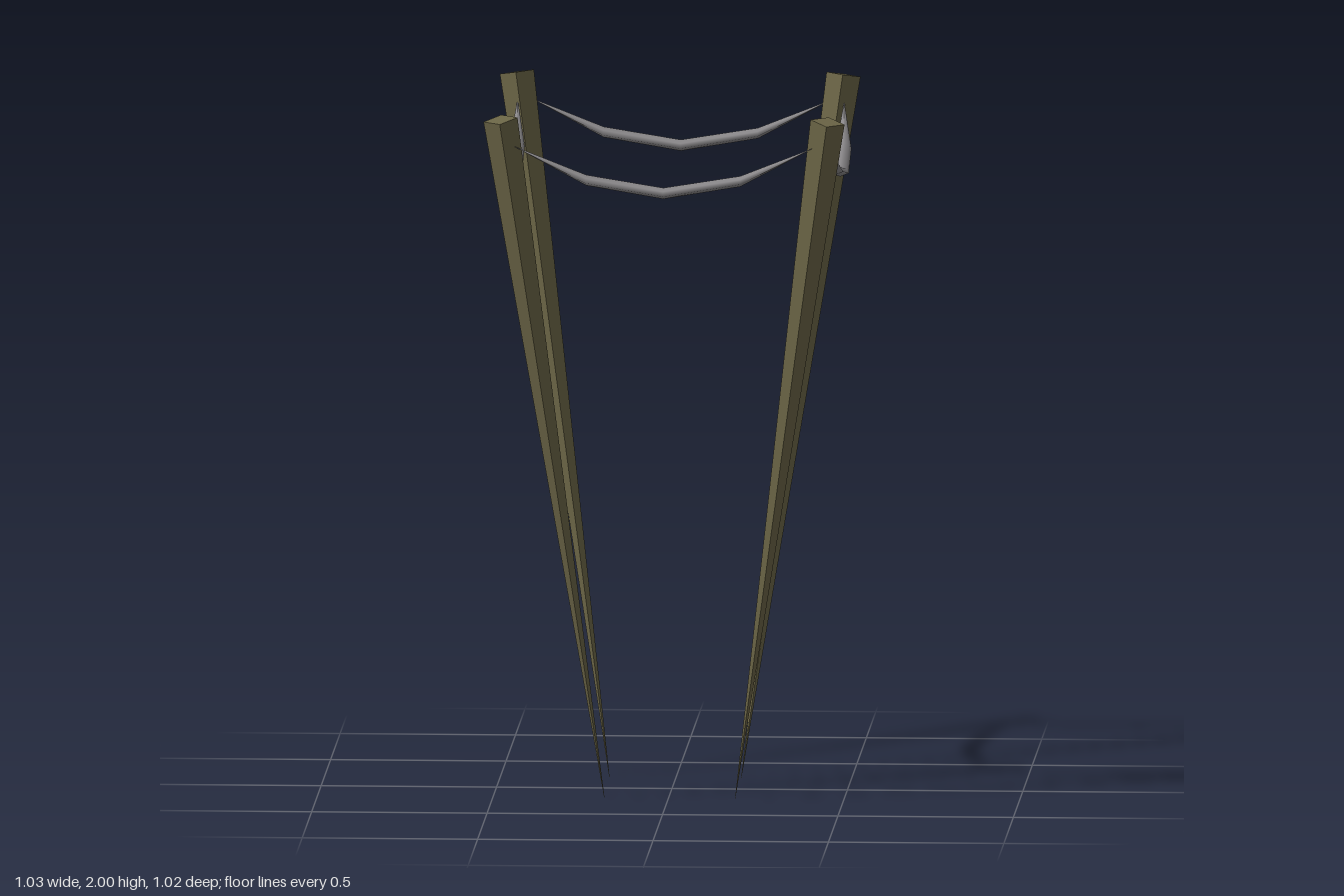
import * as THREE from 'three';

const olive = new THREE.MeshStandardMaterial({ color: 0x6b6546 });
olive.name = 'olive wood';
const grey = new THREE.MeshStandardMaterial({ color: 0x8a888a, side: THREE.DoubleSide });
grey.name = 'grey cloth';

// Square post, pointed at the foot, leaning from tip to head
function makePost(name, head, tip) {
  const top = new THREE.Vector3(head[0], 1.99, head[1]);
  const foot = new THREE.Vector3(tip[0], 0, tip[1]);
  const axis = top.clone().sub(foot);
  const geo = new THREE.CylinderGeometry(0.049, 0.0005, axis.length(), 4, 1).toNonIndexed();
  geo.computeVertexNormals();
  const post = new THREE.Mesh(geo, olive);
  post.name = name;
  post.position.copy(top).add(foot).multiplyScalar(0.5);
  post.quaternion.setFromUnitVectors(new THREE.Vector3(0, 1, 0), axis.normalize());
  return post;
}

// Sagging band along x: centre x, y, sideways shift and thickness per ring
const rings = [
  [-0.425, 1.915, 0, 0.03],
  [-0.22, 1.818, -0.009, 0.95],
  [0, 1.781, -0.012, 1],
  [0.22, 1.818, -0.009, 0.95],
  [0.425, 1.915, 0, 0.03],
];
const section = [[0, 0.016], [0.016, 0.007], [0.024, -0.006], [0, -0.016], [-0.024, -0.006], [-0.016, 0.007]];

function bandGeometry() {
  const pos = [], idx = [], n = section.length;
  for (const [x, y, shift, s] of rings)
    for (const [z, h] of section) pos.push(x, y + h * s, shift + z * s);
  for (let r = 0; r < rings.length - 1; r++)
    for (let i = 0; i < n; i++) {
      const a = r * n + i, b = r * n + (i + 1) % n;
      idx.push(a, b, a + n, b, b + n, a + n);
    }
  const geo = new THREE.BufferGeometry();
  geo.setAttribute('position', new THREE.Float32BufferAttribute(pos, 3));
  geo.setIndex(idx);
  geo.computeVertexNormals();
  return geo;
}

export function createModel() {
  const model = new THREE.Group();
  model.name = 'four posts with hanging bands';

  model.add(
    makePost('backRightPost', [-0.467, -0.462], [-0.19, -0.215]),
    makePost('backLeftPost', [0.464, -0.462], [0.186, -0.215]),
    makePost('frontRightPost', [-0.464, 0.459], [-0.183, 0.182]),
    makePost('frontLeftPost', [0.468, 0.457], [0.19, 0.182]),
  );

  // Bands hung between neighbouring posts
  const geo = bandGeometry();
  const bands = [
    ['backBand', 0, -0.456, 0],
    ['frontBand', 0, 0.468, 0],
    ['rightBand', -0.463, 0, -Math.PI / 2],
    ['leftBand', 0.468, 0, -Math.PI / 2],
  ];
  for (const [name, x, z, turn] of bands) {
    const band = new THREE.Mesh(geo, grey);
    band.name = name;
    band.position.set(x, 0, z);
    band.rotation.y = turn;
    model.add(band);
  }
  return model;
}
